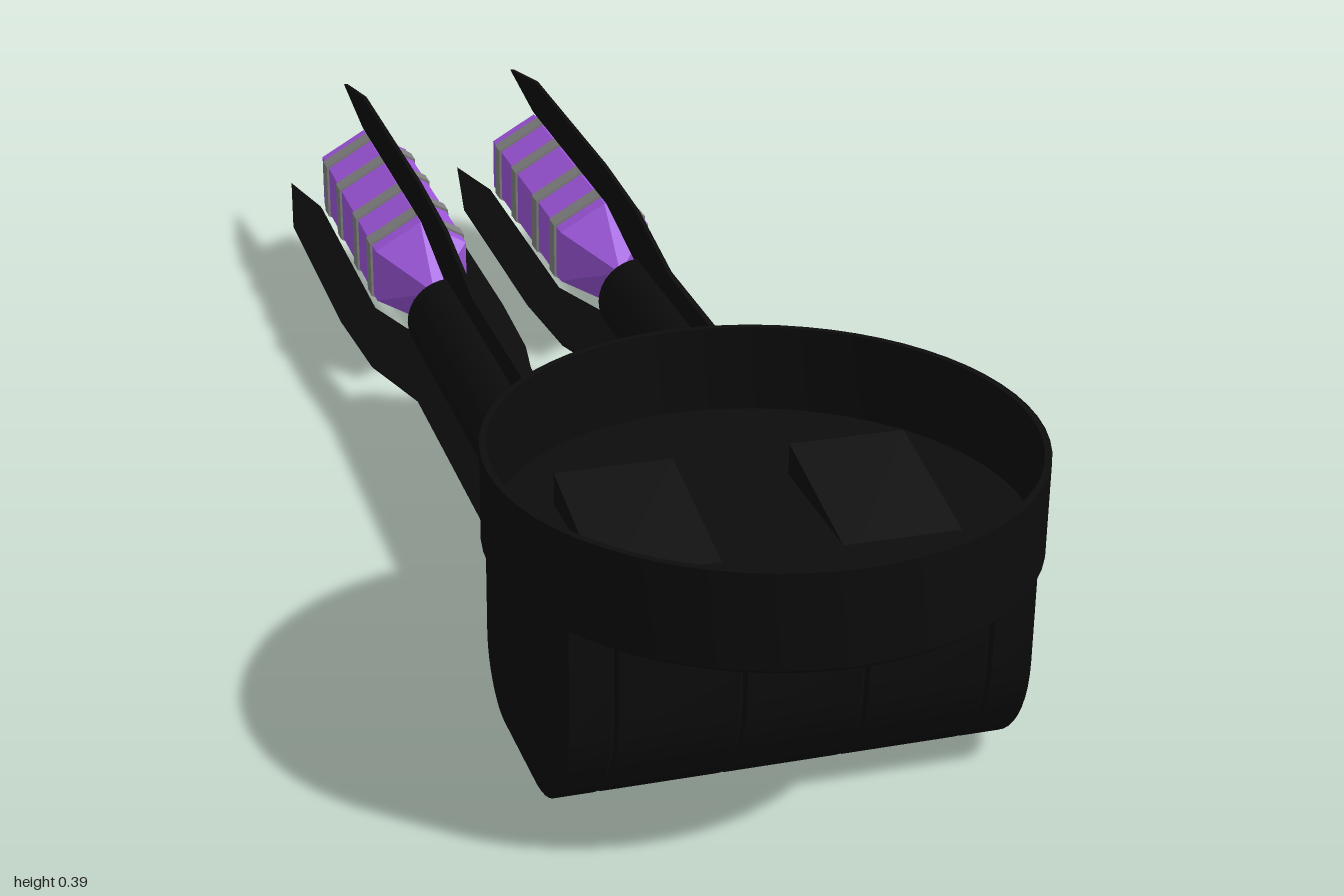
import * as THREE from 'three';
import { toCreasedNormals } from 'three/addons/utils/BufferGeometryUtils.js';

const black = new THREE.MeshStandardMaterial({ color: 0x0c0c0c });
black.name = 'black metal';
const purple = new THREE.MeshStandardMaterial({ color: 0x9b55d9 });
purple.name = 'purple crystal';
const grey = new THREE.MeshStandardMaterial({ color: 0x7f7f7f });
grey.name = 'grey band';

const BODY_Z = 0.69;   // centre of the cup and the rounded body
const ARM_X = 0.14, ARM_Y = 0.16;

function part(name, geometry, material) {
  const mesh = new THREE.Mesh(toCreasedNormals(geometry, 0.5), material);
  mesh.name = name;
  return mesh;
}

function lathe(points, sides) {
  return new THREE.LatheGeometry(points.map(([r, y]) => new THREE.Vector2(r, y)), sides);
}

// Extrudes a side profile given as [-z, y], centred across x
function sideProfile(points, width) {
  const shape = new THREE.Shape(points.map(([u, v]) => new THREE.Vector2(u, v)));
  return new THREE.ExtrudeGeometry(shape, { depth: width, bevelEnabled: false })
    .translate(0, 0, -width / 2)
    .rotateY(Math.PI / 2);
}

// U-shaped sections lofted along x: chamfered ends and shallow panel grooves
function bodyGeometry() {
  const half = [[0.066, 0.155], [0.07, 0.15], [0.074, 0.155], [0.21, 0.155], [0.214, 0.15],
    [0.218, 0.155], [0.265, 0.155], [0.298, 0.075], [0.298, 0]];
  const sections = [...half.map(([x, r]) => [-x, r]).reverse(), ...half];
  const arc = 28, count = arc + 3, cy = 0.156, top = 0.28;
  const positions = [], index = [];
  for (const [x, r] of sections) {
    positions.push(x, top, r);
    for (let j = 0; j <= arc; j++) {
      const a = Math.PI * j / arc;
      positions.push(x, cy - r * Math.sin(a), r * Math.cos(a));
    }
    positions.push(x, top, -r);
  }
  for (let i = 0; i < sections.length - 1; i++) {
    for (let j = 0; j < count; j++) {
      const k = (j + 1) % count;
      const a = i * count + j, c = i * count + k;
      index.push(a, c, a + count, c, c + count, a + count);
    }
  }
  const geometry = new THREE.BufferGeometry();
  geometry.setAttribute('position', new THREE.Float32BufferAttribute(positions, 3));
  geometry.setIndex(index);
  return geometry;
}

function createArm() {
  const arm = new THREE.Group();

  // Round barrel
  const barrel = new THREE.CylinderGeometry(0.06, 0.06, 0.86, 32).rotateX(-Math.PI / 2).translate(0, 0, 0.17);
  arm.add(part('barrel', barrel, black));

  // Three thin radial fins that run along the barrel and end as pointed prongs
  const fin = [[-0.56, 0.05], [-0.56, 0.06], [-0.43, 0.061], [-0.29, 0.095], [0.1, 0.095],
    [0.27, 0.13], [0.44, 0.14], [0.84, 0.14], [1, 0.11], [0.85, 0.086], [0.42, 0.086], [0.26, 0.05]];
  for (let i = 0; i < 3; i++) {
    const blade = part('prong', sideProfile(fin, 0.006), black);
    blade.rotation.z = i * Math.PI * 2 / 3;
    arm.add(blade);
  }

  // Six-sided crystal with a point at each end
  const crystal = lathe([[0, 0.355], [0.078, 0.44], [0.078, 0.86], [0, 0.945]], 6).rotateX(-Math.PI / 2);
  arm.add(part('crystal', crystal, purple));

  // Bands around the crystal
  for (const d of [0.48, 0.585, 0.715, 0.82]) {
    const a = d - 0.0145, b = d + 0.0145;
    const band = lathe([[0.07, a], [0.082, a], [0.082, b], [0.07, b]], 6).rotateX(-Math.PI / 2);
    arm.add(part('crystalBand', band, grey));
  }
  return arm;
}

export function createModel() {
  const model = new THREE.Group();
  model.name = 'twinProngDevice';

  // Open cup with a shallow floor
  const cup = part('cup', lathe([[0, 0.276], [0.308, 0.276], [0.313, 0.281], [0.313, 0.393],
    [0.305, 0.393], [0.305, 0.286], [0, 0.286]], 64), black);
  cup.position.z = BODY_Z;
  model.add(cup);

  // Rounded body under the cup
  const body = part('body', bodyGeometry(), black);
  body.position.z = BODY_Z;
  model.add(body);

  for (const side of [1, -1]) {
    // Sloped pad on the cup floor
    const pad = part('pad', sideProfile([[-0.79, 0.28], [-0.58, 0.28], [-0.58, 0.325]], 0.14), black);
    pad.position.x = side * ARM_X;
    model.add(pad);

    const arm = createArm();
    arm.name = side > 0 ? 'leftArm' : 'rightArm';
    arm.position.set(side * ARM_X, ARM_Y, 0);
    model.add(arm);
  }
  return model;
}
